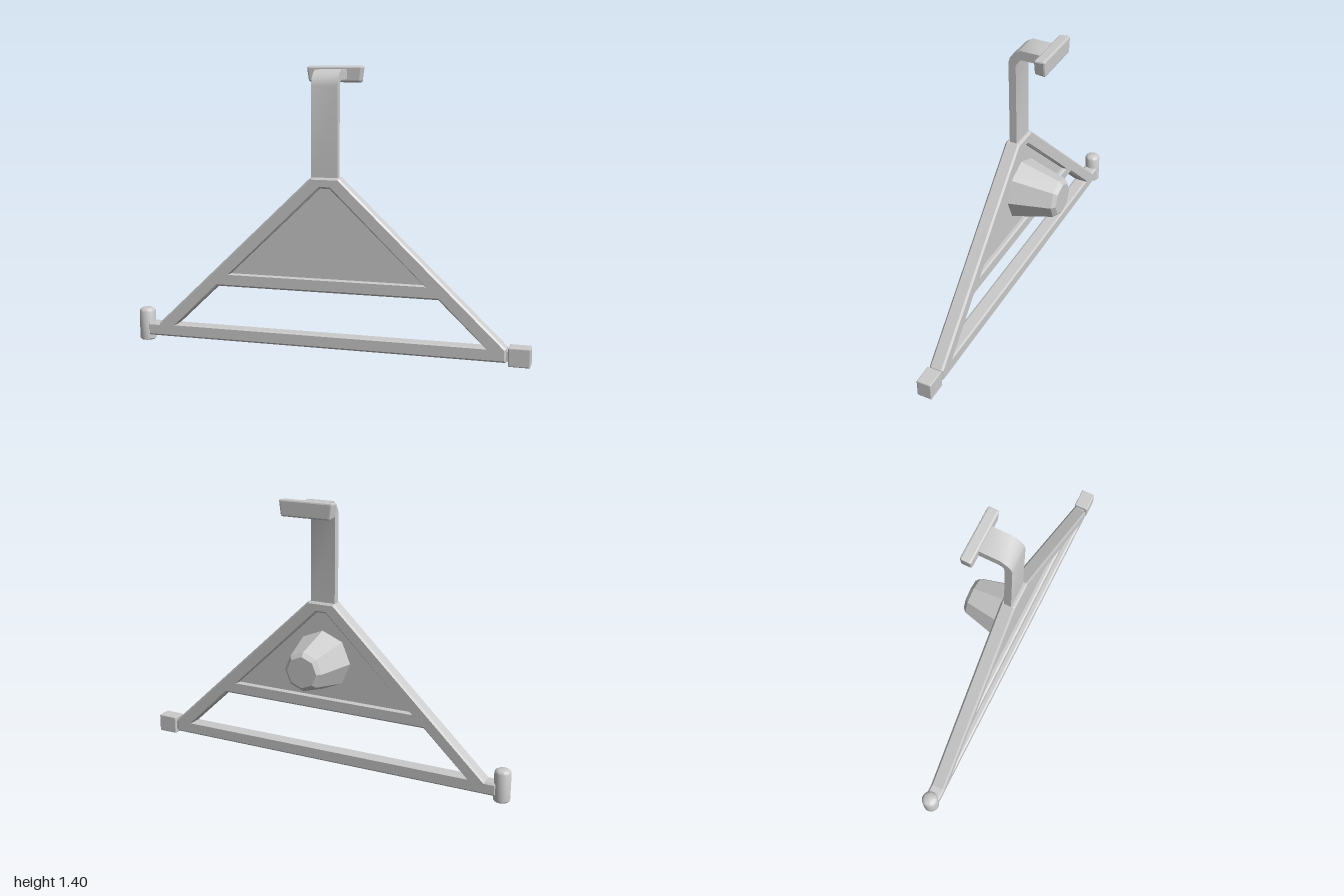
import * as THREE from 'three';
import { toCreasedNormals } from 'three/addons/utils/BufferGeometryUtils.js';
import { RoundedBoxGeometry } from 'three/addons/geometries/RoundedBoxGeometry.js';

const Z = 0.098; // middle plane of the frame

const toPoints = (pairs) => pairs.map(([x, y]) => new THREE.Vector2(x, y));

// Bevelled plate centred on z = 0, keeping its outline at the given points
function plate(outline, holes, depth, bevel) {
  const shape = new THREE.Shape(toPoints(outline));
  holes.forEach((h) => shape.holes.push(new THREE.Path(toPoints(h))));
  const geo = new THREE.ExtrudeGeometry(shape, {
    depth: depth - 2 * bevel, bevelEnabled: bevel > 0, bevelThickness: bevel,
    bevelSize: bevel, bevelOffset: -bevel, bevelSegments: 1,
  });
  return geo.translate(0, 0, bevel - depth / 2);
}

export function createModel() {
  const group = new THREE.Group();
  const grey = new THREE.MeshStandardMaterial({ color: 0xcccccc });
  const flat = new THREE.MeshStandardMaterial({ color: 0xcccccc, flatShading: true });

  function add(name, geometry, x, y, z, material = flat) {
    const mesh = new THREE.Mesh(geometry, material);
    mesh.name = name;
    mesh.position.set(x, y, z);
    group.add(mesh);
    return mesh;
  }

  // Triangular frame with an upper and a lower opening
  const outline = [[-0.94, 0.03], [0.885, 0.03], [0.885, 0.095], [0.07, 0.872],
    [-0.07, 0.872], [-0.88, 0.095], [-0.94, 0.095]];
  const upper = [[-0.49, 0.375], [-0.025, 0.82], [0.025, 0.82], [0.49, 0.375]];
  const lower = [[-0.785, 0.095], [-0.56, 0.31], [0.56, 0.31], [0.785, 0.095]];
  add('frame', plate(outline, [upper, lower], 0.074, 0.009), 0, 0, Z);

  // Recessed panel filling the upper opening
  const panel = [[-0.51, 0.367], [0.51, 0.367], [0.03, 0.828], [-0.03, 0.828]];
  add('panel', plate(panel, [], 0.026, 0), 0, 0, Z);

  // Eight-sided tapered knob on the back
  const knobProfile = toPoints([[0, -0.01], [0.157, -0.01], [0.1, 0.21], [0.08, 0.228], [0, 0.228]]);
  const knob = add('knob', new THREE.LatheGeometry(knobProfile, 8), 0, 0.57, 0.088);
  knob.rotation.x = -Math.PI / 2;

  // Flat arm rising from the apex and bending backwards; profile drawn in (z, y)
  const armProfile = [[0.115, 0.85], [0.115, 1.31], [0.108, 1.338], [0.09, 1.362], [0.055, 1.385],
    [-0.06, 1.385], [-0.06, 1.338], [0.045, 1.338], [0.063, 1.332], [0.073, 1.32], [0.078, 1.3], [0.078, 0.85]];
  const arm = plate(armProfile, [], 0.132, 0).rotateY(-Math.PI / 2);
  add('arm', toCreasedNormals(arm, 0.6), -0.004, 0, 0, grey);

  // Cross piece at the end of the arm, slightly taller towards the back
  const barGeo = new RoundedBoxGeometry(0.272, 0.078, 0.055, 1, 0.008);
  const pos = barGeo.attributes.position;
  for (let i = 0; i < pos.count; i++) {
    const y = pos.getY(i);
    pos.setX(i, pos.getX(i) * (1 + y));
    pos.setY(i, y * (1 - pos.getZ(i) * 2));
  }
  add('crossPiece', barGeo, -0.002, 1.361, -0.077);

  // Round-topped hinge pin on the right end
  const pinProfile = toPoints([[0, 0.002], [0.036, 0.002], [0.041, 0.008], [0.041, 0.148],
    [0.036, 0.158], [0.027, 0.164], [0, 0.166]]);
  const pin = toCreasedNormals(new THREE.LatheGeometry(pinProfile, 24), 0.6);
  add('hingePin', pin, -0.959, 0, Z, grey);

  // Square end block on the left end, joined by a short neck
  add('endBlock', new RoundedBoxGeometry(0.104, 0.092, 0.076, 1, 0.005), 0.946, 0.06, Z);
  add('endNeck', new THREE.BoxGeometry(0.05, 0.05, 0.05), 0.889, 0.061, Z);

  return group;
}
